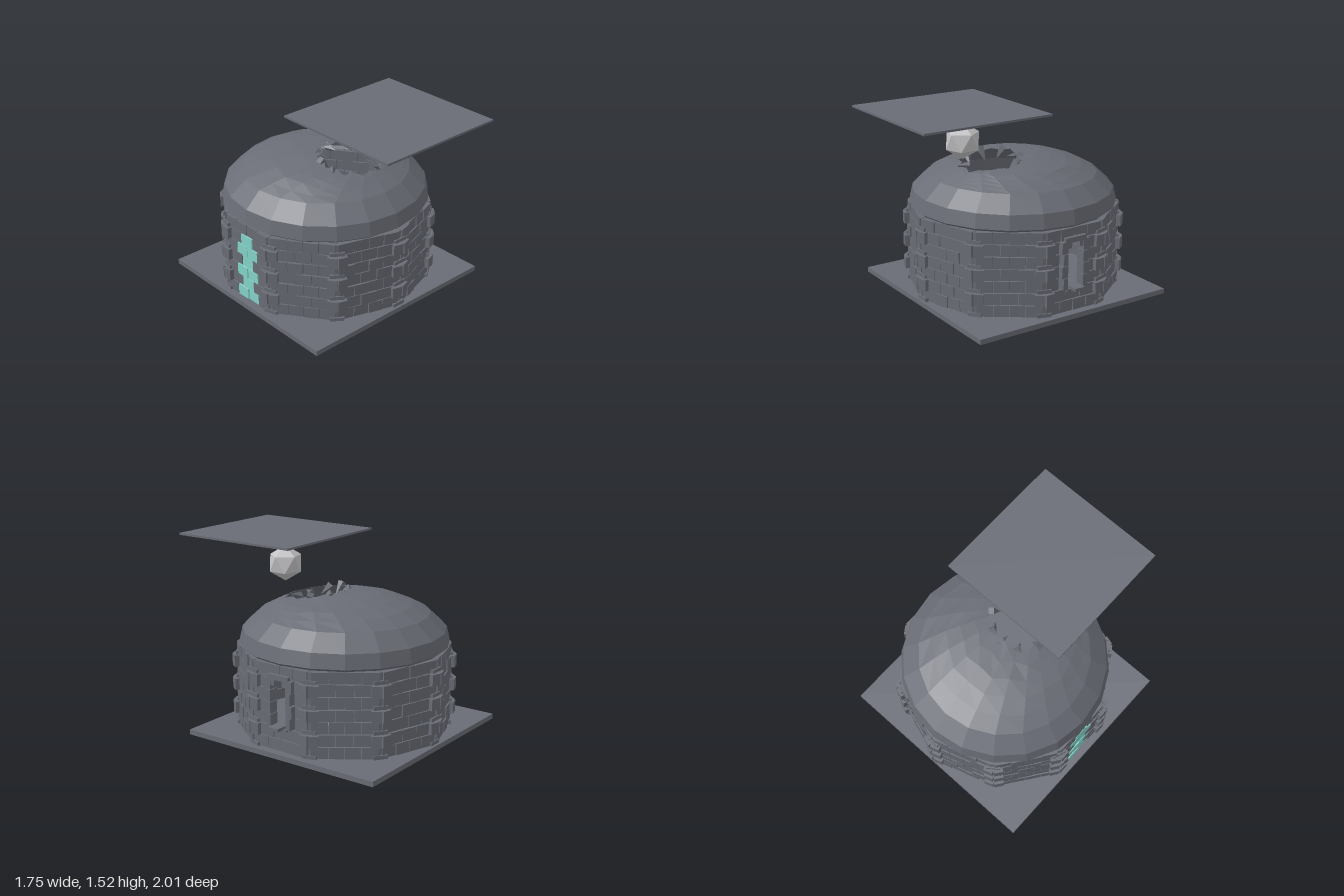
import * as THREE from 'three';

const mat = (name, color, extra = {}) => {
  const m = new THREE.MeshStandardMaterial({ color, flatShading: true, ...extra });
  m.name = name;
  return m;
};

export function createModel() {
  const stone = mat('slate stone', 0x696c75);
  const shell = mat('slate shell', 0x696c75, { side: THREE.DoubleSide });
  const pale = mat('pale grey', 0xc4c4c6);
  const teal = mat('teal glass', 0x82d2c8);

  const model = new THREE.Group();
  const tower = new THREE.Group();
  tower.name = 'tower';
  tower.position.set(-0.02, 0, -0.14);
  model.add(tower);

  let seed = 7;
  const rand = () => (seed = (seed * 16807) % 2147483647) / 2147483647;

  const add = (parent, name, geo, material, x = 0, y = 0, z = 0) => {
    const m = new THREE.Mesh(geo, material);
    m.name = name;
    m.position.set(x, y, z);
    parent.add(m);
    return m;
  };
  const box = (parent, name, w, h, d, material, x, y, z) =>
    add(parent, name, new THREE.BoxGeometry(w, h, d), material, x, y, z);

  // Ground slab and floating slab
  box(tower, 'groundSlab', 1.72, 0.04, 1.72, stone, 0, 0.02, 0);
  box(model, 'floatingSlab', 1.07, 0.016, 1.07, stone, 0.055, 1.512, 0.465);

  // Hovering stone, one vertex straight up
  const gem = new THREE.IcosahedronGeometry(0.142);
  gem.rotateZ(Math.atan(2 / (1 + Math.sqrt(5))));
  gem.rotateY(Math.PI);
  add(model, 'hoveringStone', gem, pale, 0.065, 1.274, 0.372);

  // Ten-sided brick wall: facet frames have +z outward
  const rows = 7, rowH = 0.0945;
  const evenEdges = [-0.245, -0.12, 0, 0.12, 0.245];
  const oddEdges = [-0.19, -0.065, 0.065, 0.19];
  for (let k = 0; k < 10; k++) {
    const facet = new THREE.Group();
    facet.name = 'wallFacet';
    facet.rotation.y = (18 + 36 * k) * Math.PI / 180;
    tower.add(facet);
    const windowSide = k === 2, tealSide = k === 7;
    for (let r = 0; r < rows; r++) {
      const y = 0.04 + (r + 0.5) * rowH;
      const edges = r % 2 ? oddEdges : evenEdges;
      for (let i = 0; i < edges.length - 1; i++) {
        let a = edges[i], b = edges[i + 1];
        if (windowSide && r >= 2 && r <= 5) {
          // Leave the window opening clear
          if (a < 0) b = Math.min(b, -0.13);
          else a = Math.max(a, 0.13);
          if (b - a < 0.02) continue;
        }
        const c = (a + b) / 2;
        const glass = tealSide && r <= 5 && Math.abs(c) < 0.1;
        box(facet, glass ? 'glassBrick' : 'brick', b - a - 0.004, rowH - 0.006, 0.05,
          glass ? teal : stone, c, y, 0.768 + rand() * 0.012);
      }
      // Projecting corner stones on alternate rows
      if (r % 2) for (const s of [-1, 1])
        box(facet, 'cornerStone', 0.075, rowH - 0.004, 0.085, stone, s * 0.226, y, 0.79);
    }
    if (windowSide) {
      // Window surround: jambs, stepped lintel and sill
      for (const s of [-1, 1]) {
        for (let r = 2; r < 6; r++)
          box(facet, 'windowJamb', r % 2 ? 0.055 : 0.04, rowH - 0.004, 0.08, stone,
            s * (r % 2 ? 0.098 : 0.09), 0.04 + (r + 0.5) * rowH, 0.79);
        box(facet, 'lintelStep', 0.05, 0.05, 0.07, stone, s * 0.06, 0.575, 0.79);
      }
      box(facet, 'lintel', 0.19, 0.04, 0.08, stone, 0, 0.615, 0.79);
      box(facet, 'windowSill', 0.09, 0.025, 0.14, stone, 0, 0.238, 0.82);
      box(facet, 'windowSillBase', 0.14, 0.02, 0.07, stone, 0, 0.222, 0.79);
    }
  }
  // Narrow corner posts with caps on the flush rows
  for (let k = 0; k < 10; k++) {
    const corner = new THREE.Group();
    corner.name = 'corner';
    corner.rotation.y = k * Math.PI / 5;
    tower.add(corner);
    box(corner, 'cornerPost', 0.05, 0.655, 0.05, stone, 0, 0.368, 0.8);
    for (let r = 0; r < rows; r += 2)
      box(corner, 'cornerCap', 0.11, 0.028, 0.07, stone, 0, 0.055 + r * rowH, 0.805);
  }

  // Dome skirt, twenty sided
  const profile = [[0, 1.11], [0.25, 1.093], [0.48, 1.04], [0.66, 0.95], [0.79, 0.83], [0.815, 0.72], [0.79, 0.7]];
  const skirt = profile.slice(3).reverse().map(([r, y]) => new THREE.Vector2(r, y));
  add(tower, 'domeSkirt', new THREE.LatheGeometry(skirt, 20), shell);
  const domeY = (r) => {
    let i = 0;
    while (i < profile.length - 2 && profile[i + 1][0] < r) i++;
    const [r0, y0] = profile[i], [r1, y1] = profile[i + 1];
    return y0 + (y1 - y0) * (r - r0) / (r1 - r0);
  };

  // Dome crown: lofted from a jagged off-centre hole out to the skirt
  const N = 20, M = 5, pos = [], idx = [], rim = [];
  for (let j = 0; j <= M; j++) for (let i = 0; i < N; i++) {
    const a = i / N * Math.PI * 2, t = j / M;
    const hr = 0.235 + (i % 2 ? 0.022 : -0.022);
    const hx = 0.04 + Math.sin(a) * hr, hz = 0.24 + Math.cos(a) * hr;
    const x = hx + (Math.sin(a) * 0.66 - hx) * t;
    const z = hz + (Math.cos(a) * 0.66 - hz) * t;
    const p = [x, domeY(Math.hypot(x, z)), z];
    pos.push(...p);
    if (j === 0) rim.push(p);
  }
  for (let j = 0; j < M; j++) for (let i = 0; i < N; i++) {
    const n = (i + 1) % N, a = j * N + i, b = j * N + n, c = a + N, d = b + N;
    idx.push(a, c, d, a, d, b);
  }
  const crown = new THREE.BufferGeometry();
  crown.setAttribute('position', new THREE.Float32BufferAttribute(pos, 3));
  crown.setIndex(idx);
  crown.computeVertexNormals();
  add(tower, 'domeCrown', crown, shell);

  // Broken shards around the hole
  rim.forEach(([x, y, z], i) => {
    if (i % 2) return;
    const shard = add(tower, 'rimShard', new THREE.ConeGeometry(0.035, 0.09 + rand() * 0.05, 4),
      stone, x, y - 0.03, z);
    shard.rotation.set(rand() * 1.6 - 0.8, rand() * 3, 1.2 + rand());
  });

  // Pedestal, lamp pole and small pieces inside
  add(tower, 'pedestalBase', new THREE.CylinderGeometry(0.1, 0.12, 0.08, 10), stone, 0, 0.08, 0);
  add(tower, 'pedestal', new THREE.CylinderGeometry(0.06, 0.07, 0.14, 10), stone, 0, 0.19, 0);
  add(tower, 'lampPole', new THREE.CylinderGeometry(0.005, 0.005, 0.3, 8), stone, 0, 0.4, 0);
  add(tower, 'lamp', new THREE.SphereGeometry(0.02, 10, 8), teal, 0, 0.54, 0);
  add(tower, 'lampCap', new THREE.CylinderGeometry(0.035, 0.035, 0.012, 12), stone, 0, 0.566, 0);
  add(tower, 'paleFigureBody', new THREE.ConeGeometry(0.03, 0.08, 8), pale, 0, 0.295, 0.04);
  add(tower, 'paleFigureHead', new THREE.SphereGeometry(0.015, 8, 6), pale, 0, 0.34, 0.04);
  add(tower, 'tealFigureBody', new THREE.ConeGeometry(0.03, 0.08, 8), teal, 0, 0.295, -0.025);
  add(tower, 'tealFigureHead', new THREE.SphereGeometry(0.018, 8, 6), teal, 0, 0.345, -0.025);
  for (const s of [-1, 1]) {
    const sliver = box(tower, 'glassSliver', 0.01, 0.02, 0.09, teal, 0.15 + s * 0.025, 0.05, 0.05);
    sliver.rotation.y = s * 0.6;
  }
  return model;
}
